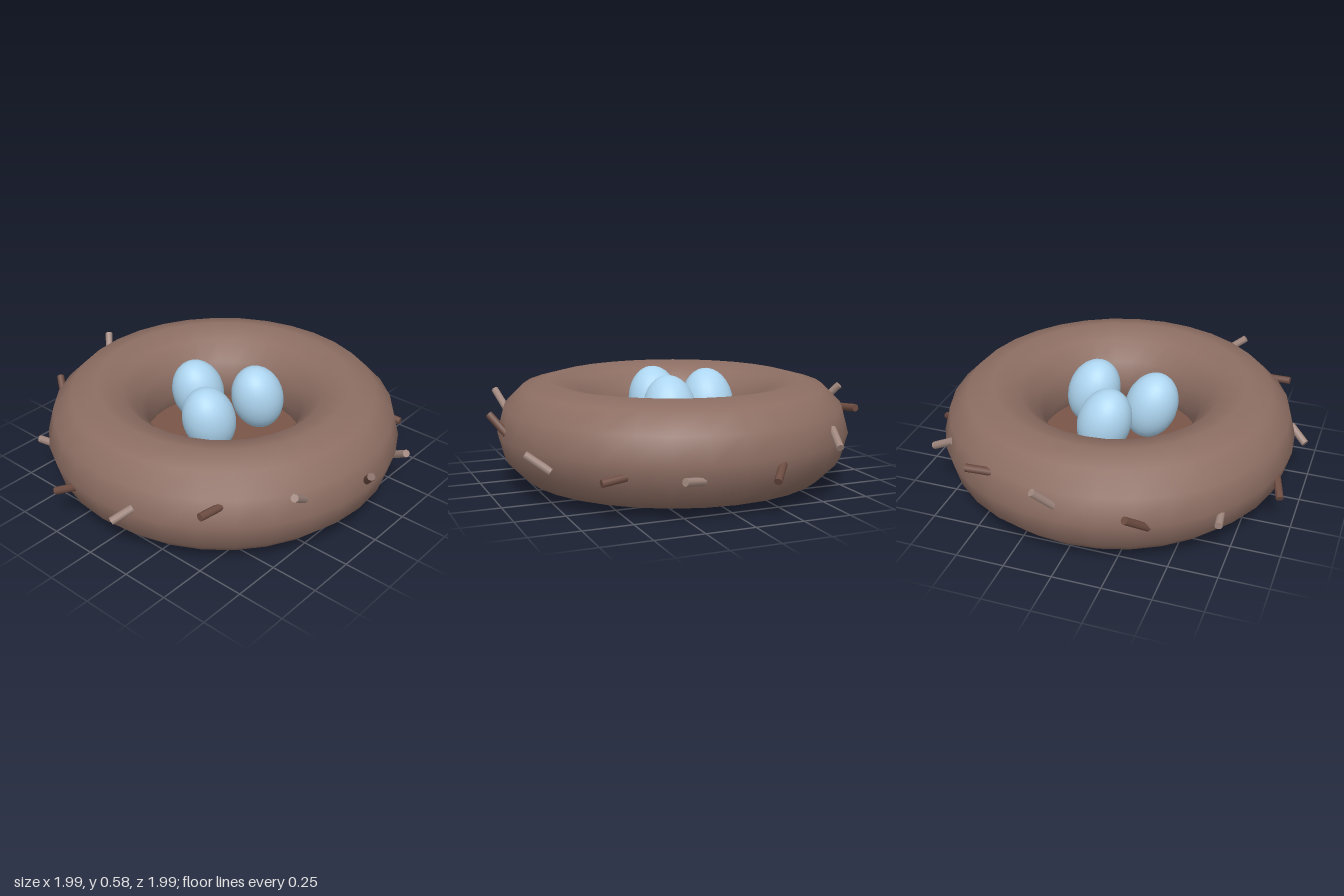
import * as THREE from 'three';

const mat = (color) => new THREE.MeshStandardMaterial({ color });

export function createModel() {
  const nest = new THREE.Group();
  nest.name = 'nest';
  const add = (name, geometry, material, x = 0, y = 0, z = 0) => {
    const mesh = new THREE.Mesh(geometry, material);
    mesh.name = name;
    mesh.position.set(x, y, z);
    nest.add(mesh);
    return mesh;
  };

  // Woven ring and the floor inside it
  const ring = new THREE.TorusGeometry(0.667, 0.267, 12, 32).rotateX(Math.PI / 2);
  add('nestRing', ring, mat(0x8d6e63), -0.003, 0.285, -0.003);
  add('nestFloor', new THREE.CylinderGeometry(0.467, 0.467, 0.09, 32), mat(0x795548), 0, 0.162, 0);

  // Three leaning eggs
  const eggGeometry = new THREE.SphereGeometry(0.14, 24, 16).scale(1, 1.36, 1);
  const eggMaterial = mat(0xaed6f1);
  for (const [x, z] of [[0.015, -0.2], [-0.165, 0.04], [0.176, 0.086]]) {
    add('egg', eggGeometry, eggMaterial, x, 0.4, z).rotation.z = 0.3;
  }

  // Twigs: each runs from a point in the ring out to its tip
  const light = mat(0xa1887f), dark = mat(0x6d4c41);
  const up = new THREE.Vector3(0, 1, 0);
  const twig = (from, to, material, extra) => {
    const tip = new THREE.Vector3(...to);
    const dir = tip.clone().sub(new THREE.Vector3(...from));
    const length = dir.length() + extra;
    dir.normalize();
    const mesh = add('twig', new THREE.CylinderGeometry(0.02, 0.02, length, 8), material);
    mesh.position.copy(tip).addScaledVector(dir, -length / 2);
    mesh.quaternion.setFromUnitVectors(up, dir);
  };

  // Outer twigs, alternating light and dark around the rim
  [
    [[0.02, 0.36, -0.91], [0.09, 0.46, -0.98]],
    [[0.39, 0.40, -0.81], [0.50, 0.41, -0.83]],
    [[0.74, 0.34, -0.56], [0.83, 0.29, -0.54]],
    [[0.92, 0.24, -0.17], [0.98, 0.20, -0.12]],
    [[0.89, 0.215, 0.24], [0.93, 0.23, 0.32]],
    [[0.73, 0.22, 0.56], [0.74, 0.21, 0.65]],
    [[0.42, 0.23, 0.83], [0.38, 0.29, 0.91]],
    [[0.00, 0.33, 0.92], [-0.06, 0.41, 0.98]],
    [[-0.38, 0.38, 0.82], [-0.49, 0.46, 0.85]],
    [[-0.70, 0.385, 0.57], [-0.81, 0.39, 0.56]],
    [[-0.92, 0.30, 0.19], [-0.98, 0.26, 0.15]],
    [[-0.91, 0.24, -0.22], [-0.94, 0.20, -0.30]],
    [[-0.71, 0.25, -0.59], [-0.72, 0.245, -0.67]],
    [[-0.40, 0.29, -0.84], [-0.34, 0.37, -0.93]],
  ].forEach(([from, to], i) => twig(from, to, i % 2 ? dark : light, 0.04));

  // Short ends poking out under the ring
  twig([0.19, 0.13, -0.51], [0.19, 0.01, -0.47], light, 0);
  twig([-0.38, 0.13, 0.36], [-0.36, 0.02, 0.33], light, 0);
  twig([-0.12, 0.15, 0.49], [-0.12, 0.08, 0.43], dark, 0);
  twig([-0.02, 0.13, -0.57], [-0.02, 0.03, -0.55], dark, 0);

  return nest;
}
